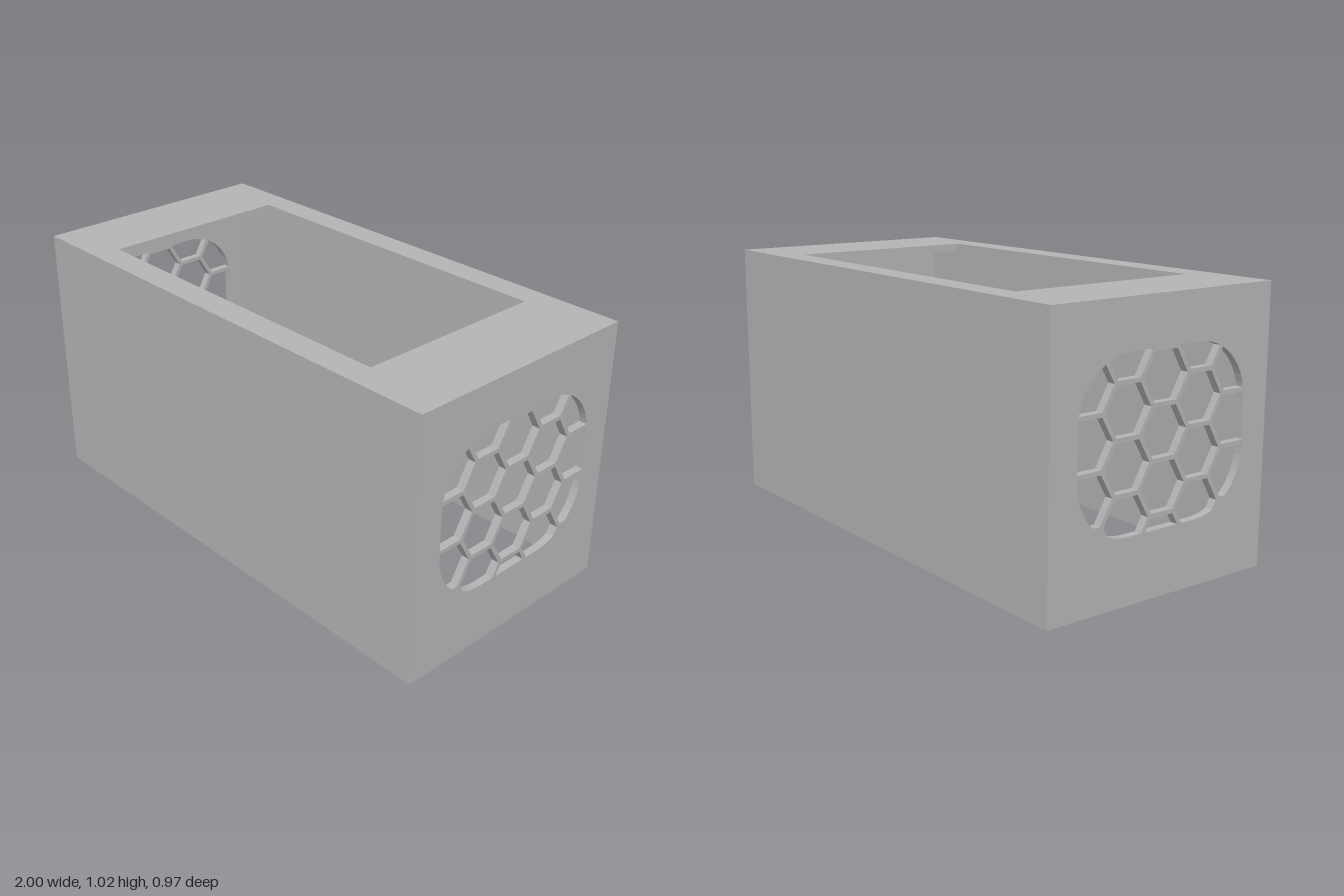
import * as THREE from 'three';

const L = 2, H = 1.023, W = 0.974, T = 0.03; // length, height, width, wall thickness
const PITCH = 0.1858, BAR = 0.016; // honeycomb spacing and bar width

// Outline of the vent: a rectangle with large round corners
function ventOutline() {
  const hw = 0.373, hh = 0.305, r = 0.22, cy = 0.543, n = 12, pts = [];
  [[1, 1], [-1, 1], [-1, -1], [1, -1]].forEach(([sx, sy], q) => {
    for (let i = 0; i <= n; i++) {
      const a = (q + i / n) * Math.PI / 2;
      pts.push(new THREE.Vector2(
        sx * (hw - r) + r * Math.cos(a),
        cy + sy * (hh - r) + r * Math.sin(a)));
    }
  });
  return pts;
}

// Keep the part of a convex polygon that lies inside one hexagonal cell
function clipToCell(poly, cx, cy) {
  const apothem = (PITCH - BAR) / 2;
  for (let k = 0; k < 6; k++) {
    const a = Math.PI / 6 + k * Math.PI / 3;
    const dist = p => (p.x - cx) * Math.cos(a) + (p.y - cy) * Math.sin(a) - apothem;
    const out = [];
    poly.forEach((p, i) => {
      const q = poly[(i + 1) % poly.length], dp = dist(p), dq = dist(q);
      if (dp <= 0) out.push(p);
      if (dp * dq < 0) out.push(p.clone().lerp(q, dp / (dp - dq)));
    });
    poly = out;
  }
  return poly;
}

function rectPoints(x0, y0, x1, y1) {
  return [[x0, y0], [x1, y0], [x1, y1], [x0, y1]].map(p => new THREE.Vector2(...p));
}

function plate(outline, holes) {
  const shape = new THREE.Shape(outline);
  holes.forEach(h => shape.holes.push(new THREE.Path(h)));
  return new THREE.ExtrudeGeometry(shape, { depth: T, bevelEnabled: false });
}

export function createModel() {
  const group = new THREE.Group();
  const grey = new THREE.MeshStandardMaterial({ color: 0xb3b3b3 });
  grey.name = 'grey';

  const add = (name, geometry, x, y, z) => {
    const mesh = new THREE.Mesh(geometry, grey);
    mesh.name = name;
    mesh.position.set(x, y, z);
    group.add(mesh);
  };

  // End walls with honeycomb vents
  const outline = ventOutline(), cells = [];
  for (let col = -2; col <= 2; col++) {
    for (let row = -3; row <= 3; row++) {
      const cy = 0.567 + (row + (col % 2 ? 0.5 : 0)) * PITCH;
      const cell = clipToCell(outline, col * PITCH * Math.sqrt(3) / 2, cy);
      if (cell.length > 2 && Math.abs(THREE.ShapeUtils.area(cell)) > 1e-4) cells.push(cell);
    }
  }
  const end = plate(rectPoints(-W / 2, 0, W / 2, H - T), cells).rotateY(Math.PI / 2);
  add('leftVentWall', end, L / 2 - T, 0, 0);
  add('rightVentWall', end, -L / 2, 0, 0);

  // Long side walls
  const side = new THREE.BoxGeometry(L - 2 * T, H - T, T);
  add('frontWall', side, 0, (H - T) / 2, W / 2 - T / 2);
  add('backWall', side, 0, (H - T) / 2, -W / 2 + T / 2);

  // Top plate with its rectangular opening; the underside of the box is open
  const top = plate(
    rectPoints(-L / 2, -W / 2, L / 2, W / 2),
    [rectPoints(-0.704, -0.38, 0.678, 0.385)]
  ).rotateX(-Math.PI / 2);
  add('topPlate', top, 0, H - T, 0);

  return group;
}
